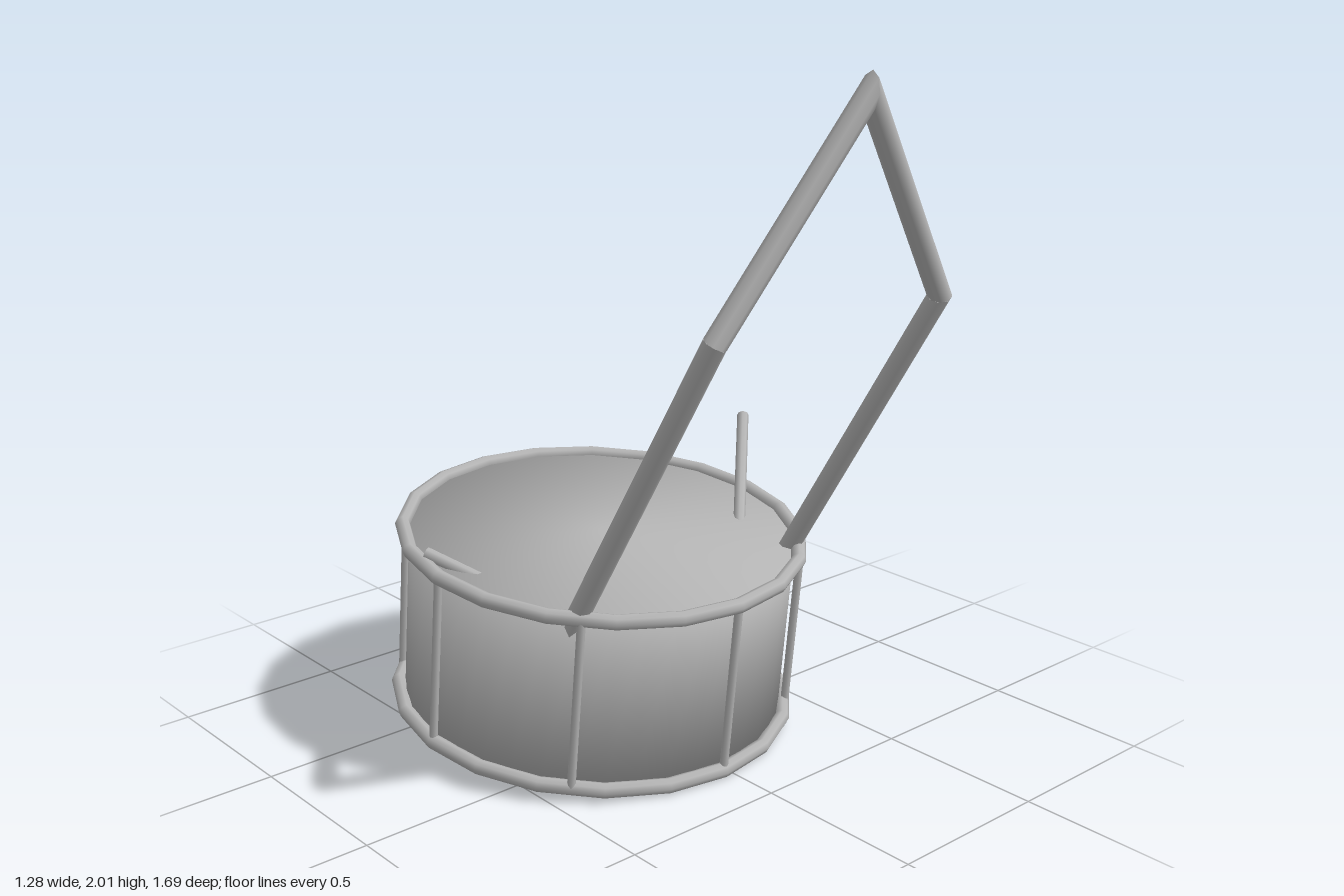
import * as THREE from 'three';

const UP = new THREE.Vector3(0, 1, 0);
const V = (x, y, z) => new THREE.Vector3(x, y, z);

export function createModel() {
  const model = new THREE.Group();
  model.name = 'drum';
  const grey = new THREE.MeshStandardMaterial({ color: 0xb4b4b4 });
  grey.name = 'plainGrey';

  const add = (parent, name, geometry) => {
    const mesh = new THREE.Mesh(geometry, grey);
    mesh.name = name;
    parent.add(mesh);
    return mesh;
  };

  // Round bar from a to b; each end is cut on the plane with normal nA or nB
  const bar = (a, b, r, nA, nB) => {
    const dir = b.clone().sub(a);
    const g = new THREE.CylinderGeometry(r, r, dir.length(), 8);
    dir.normalize();
    g.applyQuaternion(new THREE.Quaternion().setFromUnitVectors(UP, dir));
    const mid = a.clone().add(b).multiplyScalar(0.5);
    g.translate(mid.x, mid.y, mid.z);
    const pos = g.attributes.position, p = V(0, 0, 0);
    for (let i = 0; i < pos.count; i++) {
      p.fromBufferAttribute(pos, i);
      const top = p.clone().sub(mid).dot(dir) > 0;
      const n = (top ? nB : nA) || dir, end = top ? b : a;
      p.addScaledVector(dir, end.clone().sub(p).dot(n) / dir.dot(n));
      pos.setXYZ(i, p.x, p.y, p.z);
    }
    return g;
  };

  // Tilted drum body
  const body = new THREE.Group();
  body.name = 'drumBody';
  body.position.set(-0.035, 0.342, -0.2125);
  body.rotation.x = 0.105;
  model.add(body);
  const half = 0.26, shellR = 0.567, ringR = 0.586;

  // Closed shell with flat skins; normals are smoothed over both rims
  const shell = new THREE.CylinderGeometry(shellR, shellR, half * 2, 40);
  const sp = shell.attributes.position, sn = shell.attributes.normal;
  for (let i = 0; i < sp.count; i++) {
    const n = V(sp.getX(i) / shellR, sp.getY(i) / half, sp.getZ(i) / shellR);
    n.multiplyScalar(Math.SQRT1_2);
    sn.setXYZ(i, n.x, n.y, n.z);
  }
  add(body, 'shellAndSkins', shell);

  // Hoops at both rims
  for (const [name, y] of [['topHoop', half], ['bottomHoop', -half]]) {
    const hoop = add(body, name, new THREE.TorusGeometry(ringR, 0.022, 8, 20));
    hoop.rotation.x = Math.PI / 2;
    hoop.position.y = y;
  }

  // Tension rods around the shell
  for (let i = 0; i < 8; i++) {
    const a = i * Math.PI / 4;
    const rod = add(body, 'tensionRod', new THREE.CylinderGeometry(0.012, 0.012, half * 2, 8));
    rod.position.set(ringR * Math.sin(a), 0, ringR * Math.cos(a));
  }

  // Pointed strap, mitred at the shoulders and peak
  const strap = new THREE.Group();
  strap.name = 'strap';
  model.add(strap);
  const cx = -0.035, peak = V(cx, 1.96, 0.81);
  for (const s of [-1, 1]) {
    const foot = V(cx + s * 0.4, 0.5, 0.159), shoulder = V(cx + s * 0.4, 1.4, 0.715);
    const lower = shoulder.clone().sub(foot).normalize();
    const upper = peak.clone().sub(shoulder).normalize();
    const mitre = lower.clone().add(upper).normalize();
    add(strap, 'strapLower', bar(foot, shoulder, 0.031, null, mitre));
    add(strap, 'strapUpper', bar(shoulder, peak, 0.031, mitre, V(1, 0, 0)));
  }

  // Drumsticks, the right one sunk through the skin
  add(model, 'leftStick', bar(V(0.36, 0.565, -0.015), V(0.628, 0.8, -0.282), 0.018));
  add(model, 'rightStick', bar(V(-0.425, 0.52, -0.01), V(-0.595, 0.638, -0.28), 0.018));

  return model;
}
